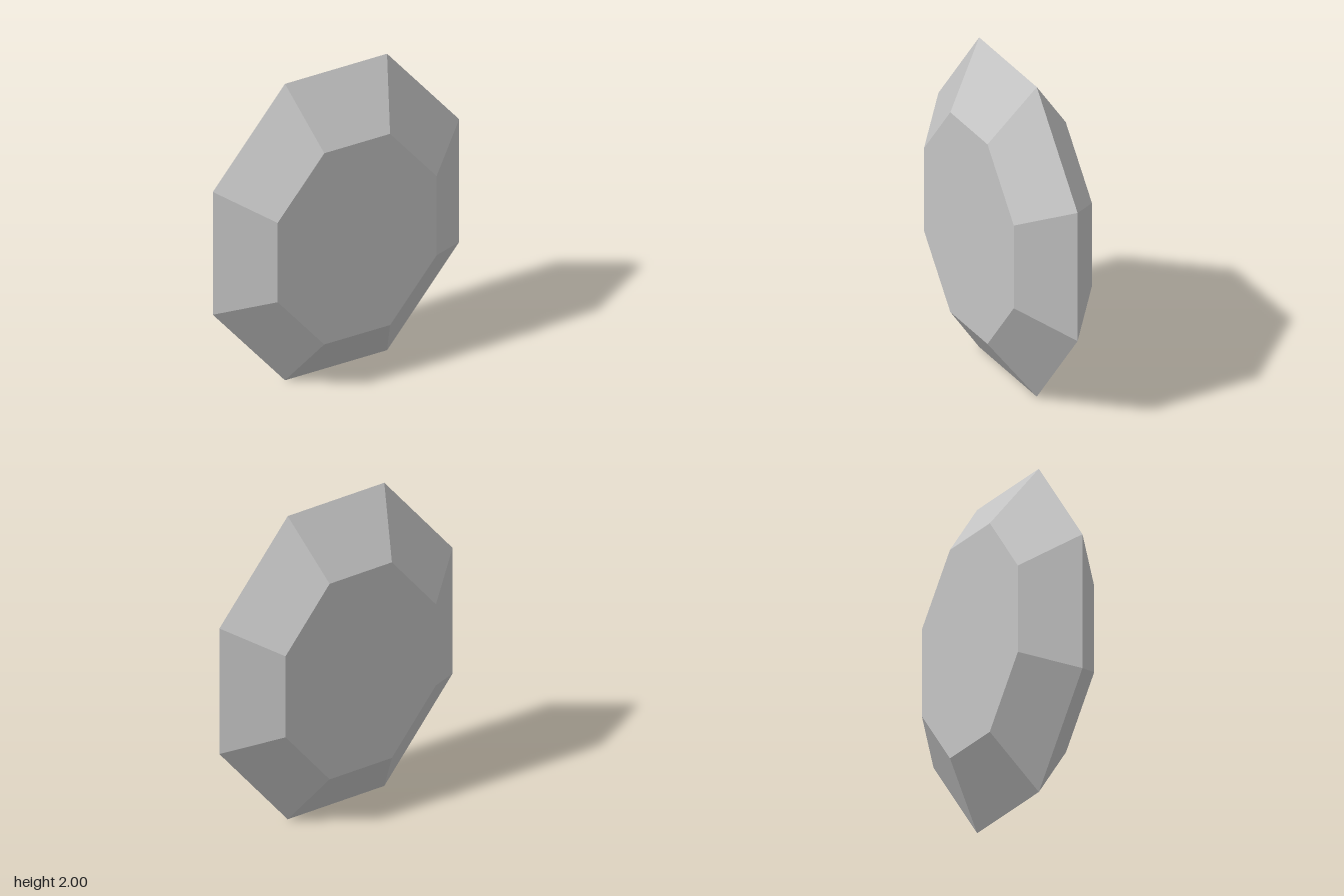
import * as THREE from 'three';

export function createModel() {
  const group = new THREE.Group();
  group.name = 'cutGem';
  const stone = new THREE.MeshStandardMaterial({ color: 0xc4c4c4 });
  stone.name = 'grey stone';

  // Octagonal gem: flat back table, wide girdle at the middle, flat front table
  const girdle = 1 / Math.cos(Math.PI / 8);
  const table = girdle * 0.645;
  const depth = 0.253;
  const profile = [[0, -depth], [table, -depth], [girdle, 0], [table, depth], [0, depth]]
    .map(([r, y]) => new THREE.Vector2(r, y));

  // Turn the axis to face the front, narrow the width, and use flat facets
  const geometry = new THREE.LatheGeometry(profile, 8, Math.PI / 8)
    .rotateX(Math.PI / 2)
    .scale(0.782, 1, 1)
    .translate(0, 1, 0)
    .toNonIndexed();
  geometry.computeVertexNormals();

  const gem = new THREE.Mesh(geometry, stone);
  gem.name = 'gemBody';
  group.add(gem);
  return group;
}
